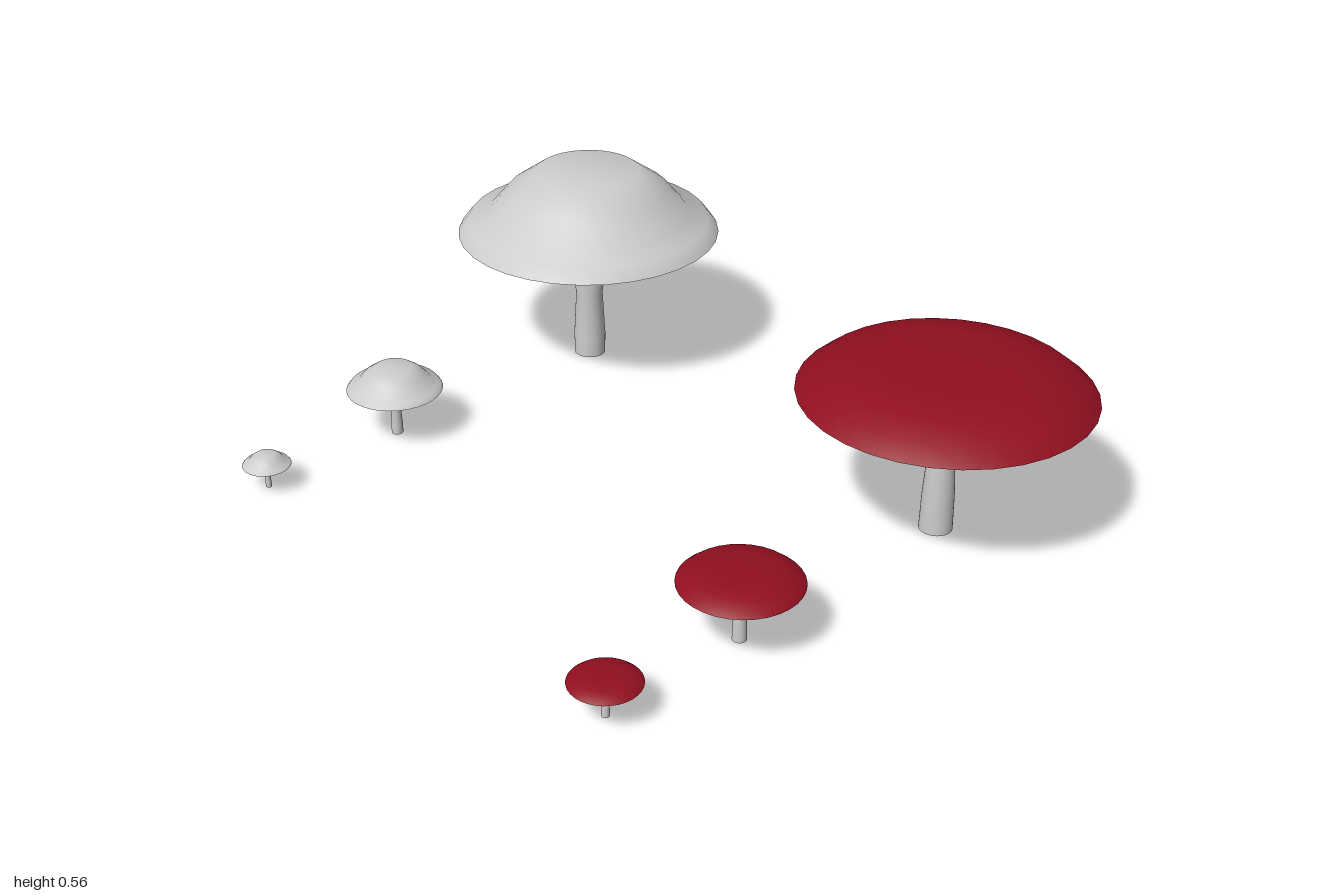
import * as THREE from 'three';

const SEGMENTS = 32;
const grey = new THREE.MeshStandardMaterial({ color: 0xcccccc });
const red = new THREE.MeshStandardMaterial({ color: 0x910f20 });

// Profiles as [radius, height], listed from the bottom up
const domed = {
  cap: [[0.36, 0.38], [0.332, 0.417], [0.278, 0.434], [0.222, 0.5], [0.14, 0.558], [0, 0.558]],
  stem: [[0.043, 0], [0.044, 0.06], [0.037, 0.19], [0.053, 0.284], [0.034, 0.385]],
  material: grey,
};
const flat = {
  cap: [[0.361, 0.38], [0.32, 0.414], [0.25, 0.437], [0.17, 0.453], [0, 0.453]],
  stem: [[0.042, 0], [0.04, 0.1], [0.034, 0.2], [0.026, 0.385]],
  material: red,
};

function lathe(profile, name, material) {
  const points = profile.map(([r, y]) => new THREE.Vector2(r, y));
  const mesh = new THREE.Mesh(new THREE.LatheGeometry(points, SEGMENTS), material);
  mesh.name = name;
  return mesh;
}

// Downward-facing disc, kept separate so the rim stays sharp
function disc([radius, y], name, material) {
  const geometry = new THREE.CircleGeometry(radius, SEGMENTS).rotateX(Math.PI / 2);
  const mesh = new THREE.Mesh(geometry, material);
  mesh.position.y = y;
  mesh.name = name;
  return mesh;
}

function mushroom(kind, name, x, z, scale) {
  const group = new THREE.Group();
  group.name = name;
  group.add(
    lathe(kind.cap, 'cap', kind.material),
    disc(kind.cap[0], 'capUnderside', kind.material),
    lathe(kind.stem, 'stem', grey),
    disc(kind.stem[0], 'stemBase', grey),
  );
  group.position.set(x, 0, z);
  group.scale.setScalar(scale);
  return group;
}

export function createModel() {
  const model = new THREE.Group();
  model.name = 'mushrooms';

  // Two rows, each with a large, a medium and a small mushroom
  const sizes = [
    { size: 'large', x: 0.405, flat: 1, domed: 1 },
    { size: 'medium', x: -0.281, flat: 0.41, domed: 0.352 },
    { size: 'small', x: -0.688, flat: 0.235, domed: 0.172 },
  ];
  for (const s of sizes) {
    model.add(mushroom(flat, s.size + 'RedMushroom', s.x, 0.636, s.flat));
    model.add(mushroom(domed, s.size + 'GreyMushroom', s.x, -0.64, s.domed));
  }
  return model;
}
